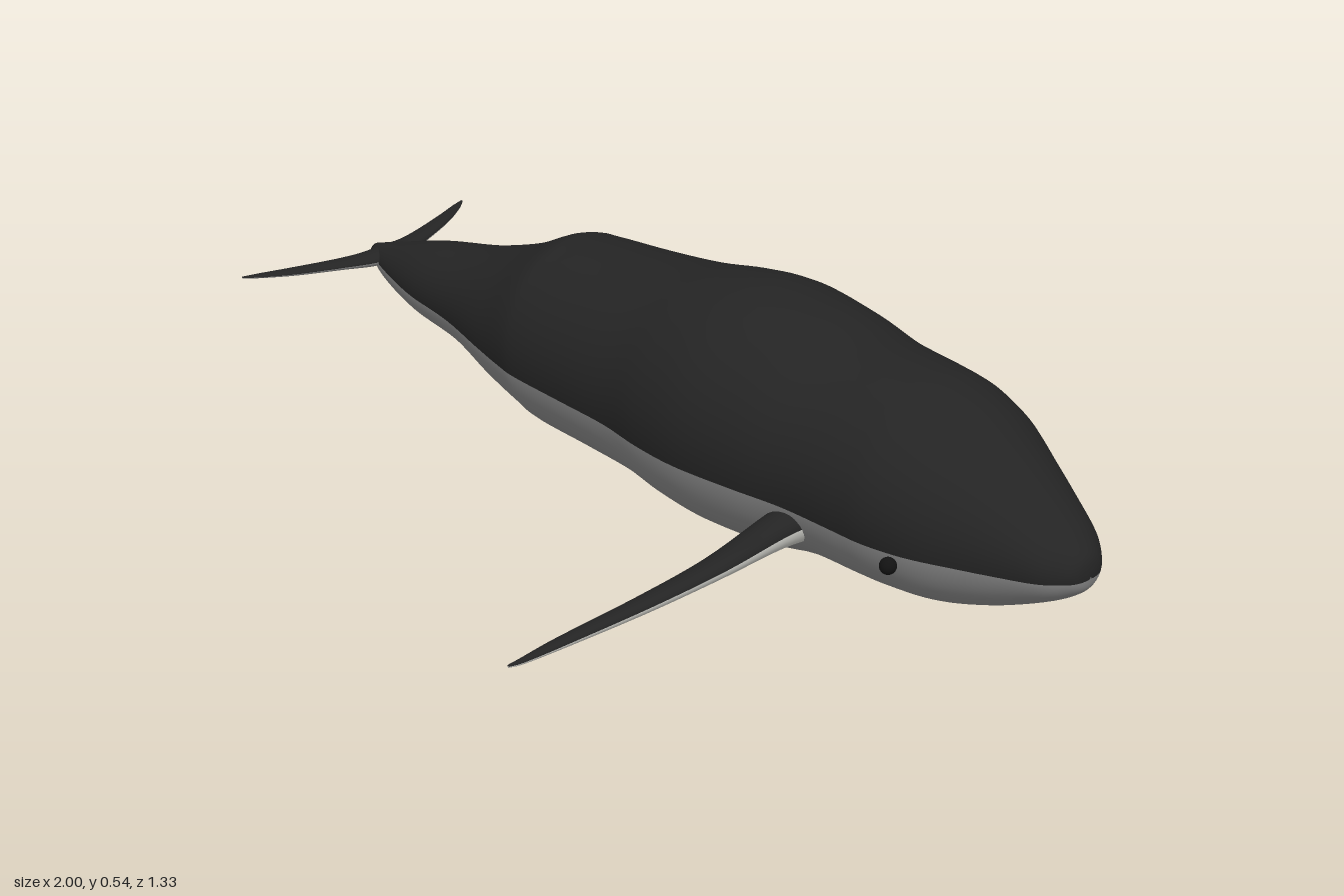
import * as THREE from 'three';

const material = (name, color) => {
  const m = new THREE.MeshStandardMaterial({ color });
  m.name = name;
  return m;
};

// Catmull-Rom resampling of table rows, column by column
function resample(rows, steps) {
  const out = [];
  const at = (i) => rows[Math.max(0, Math.min(rows.length - 1, i))];
  for (let i = 0; i < rows.length - 1; i++) {
    for (let s = 0; s < steps; s++) {
      const t = s / steps;
      out.push(rows[i].map((p1, k) => {
        const p0 = at(i - 1)[k], p2 = at(i + 1)[k], p3 = at(i + 2)[k];
        return p1 + 0.5 * t * (p2 - p0 + t * (2 * p0 - 5 * p1 + 4 * p2 - p3 + t * (3 * (p1 - p2) + p3 - p0)));
      }));
    }
  }
  out.push(rows[rows.length - 1]);
  return out;
}

// Skin closed rings; the first half of each ring is the upper colour, the rest the lower
function loft(rings, upper, lower, name) {
  const n = rings[0].length, half = n / 2;
  const positions = rings.flat();
  const first = positions.length;
  for (const ring of [rings[0], rings[rings.length - 1]]) {
    positions.push(ring.reduce((c, p) => c.add(p), new THREE.Vector3()).divideScalar(n));
  }
  const groups = [[], []];
  const last = (rings.length - 1) * n;
  for (let j = 0; j < n; j++) {
    const k = (j + 1) % n, g = groups[j < half ? 0 : 1];
    for (let i = 0; i < last; i += n) g.push(i + j, i + k, i + n + k, i + j, i + n + k, i + n + j);
    g.push(first, k, j, first + 1, last + j, last + k);
  }
  const geo = new THREE.BufferGeometry().setFromPoints(positions);
  geo.setIndex(groups.flat());
  geo.addGroup(0, groups[0].length, 0);
  geo.addGroup(groups[0].length, groups[1].length, 1);
  geo.computeVertexNormals();
  const mesh = new THREE.Mesh(geo, [upper, lower]);
  mesh.name = name;
  return mesh;
}

// Fin sections running along +z: [x, y, z, half chord, half thickness, front lift]
const finRings = (rows) => rows.map(([x, y, z, chord, thick, lift]) =>
  Array.from({ length: 20 }, (_, j) => {
    const a = (j / 20) * Math.PI * 2, c = Math.cos(a);
    return new THREE.Vector3(x + chord * c, y + thick * Math.sin(a) + lift * c, z);
  }));
const mirrored = (rows) => rows.map((r) => r.map((v, k) => (k === 2 ? -v : v))).reverse();

// Body from nose to tail: [x, top, bottom, half width]
const BODY = [
  [1.0, 0.24, 0.226, 0.008], [0.995, 0.262, 0.206, 0.032], [0.98, 0.282, 0.19, 0.054],
  [0.945, 0.313, 0.168, 0.085], [0.88, 0.361, 0.137, 0.118], [0.81, 0.408, 0.11, 0.152],
  [0.73, 0.455, 0.09, 0.19], [0.65, 0.482, 0.084, 0.212], [0.58, 0.492, 0.082, 0.217],
  [0.465, 0.502, 0.082, 0.224], [0.35, 0.527, 0.061, 0.241], [0.22, 0.54, 0.054, 0.252],
  [0.11, 0.528, 0.06, 0.243], [0, 0.507, 0.075, 0.223], [-0.13, 0.491, 0.083, 0.213],
  [-0.27, 0.479, 0.088, 0.202], [-0.33, 0.47, 0.099, 0.19], [-0.43, 0.42, 0.122, 0.16],
  [-0.57, 0.372, 0.161, 0.118], [-0.73, 0.336, 0.18, 0.086], [-0.86, 0.296, 0.214, 0.046],
  [-0.925, 0.276, 0.25, 0.016],
];

function bodyRings() {
  const half = 24;
  return resample(BODY, 5).map(([x, top, bottom, width]) => {
    const mid = (top + bottom) / 2, height = (top - bottom) / 2;
    // Height of the line between the dark back and the pale belly
    const line = x < -0.7 ? 0.25 - (x + 0.7) * 0.05 : 0.25 - 0.025 * THREE.MathUtils.smoothstep(x, 0.3, 1);
    const a = Math.asin(THREE.MathUtils.clamp((line - mid) / height, -0.95, 0.95));
    return Array.from({ length: half * 2 }, (_, j) => {
      const t = j < half
        ? a + (Math.PI - 2 * a) * (j / half)
        : Math.PI - a + (Math.PI + 2 * a) * (j / half - 1);
      return new THREE.Vector3(x, mid + height * Math.sin(t), width * Math.cos(t));
    });
  });
}

export function createModel() {
  const model = new THREE.Group();
  model.name = 'whale';
  const back = material('charcoal back', 0x242424);
  const belly = material('grey belly', 0x858585);
  const pale = material('pale flipper underside', 0xc8c8c2);
  const black = material('black eye', 0x121212);

  model.add(loft(bodyRings(), back, belly, 'body'));

  // Long flippers sweeping back and down
  const flipper = resample([
    [0.465, 0.205, 0.16, 0.05, 0.045, 0.01],
    [0.452, 0.192, 0.23, 0.044, 0.036, 0.012],
    [0.405, 0.14, 0.33, 0.037, 0.023, 0.011],
    [0.347, 0.09, 0.45, 0.03, 0.017, 0.009],
    [0.28, 0.04, 0.58, 0.02, 0.011, 0.005],
    [0.245, 0.013, 0.645, 0.01, 0.006, 0.002],
    [0.23, 0.004, 0.667, 0.003, 0.003, 0],
  ], 5);
  model.add(loft(finRings(flipper), back, pale, 'leftFlipper'));
  model.add(loft(finRings(mirrored(flipper)), back, pale, 'rightFlipper'));

  // Tail flukes, tip to tip
  const fluke = [
    [-0.892, 0.263, 0, 0.028, 0.017, 0],
    [-0.894, 0.263, 0.05, 0.027, 0.014, 0],
    [-0.912, 0.264, 0.11, 0.023, 0.01, 0],
    [-0.946, 0.265, 0.2, 0.018, 0.007, 0],
    [-0.978, 0.265, 0.265, 0.011, 0.004, 0],
    [-0.996, 0.265, 0.297, 0.003, 0.002, 0],
  ];
  const span = resample([...mirrored(fluke.slice(1)), ...fluke], 4);
  model.add(loft(finRings(span), back, belly, 'tailFlukes'));

  // Eyes
  for (const side of [1, -1]) {
    const eye = new THREE.Mesh(new THREE.SphereGeometry(0.016, 20, 14), black);
    eye.name = side > 0 ? 'leftEye' : 'rightEye';
    eye.position.set(0.725, 0.228, side * 0.218);
    model.add(eye);
  }
  return model;
}
